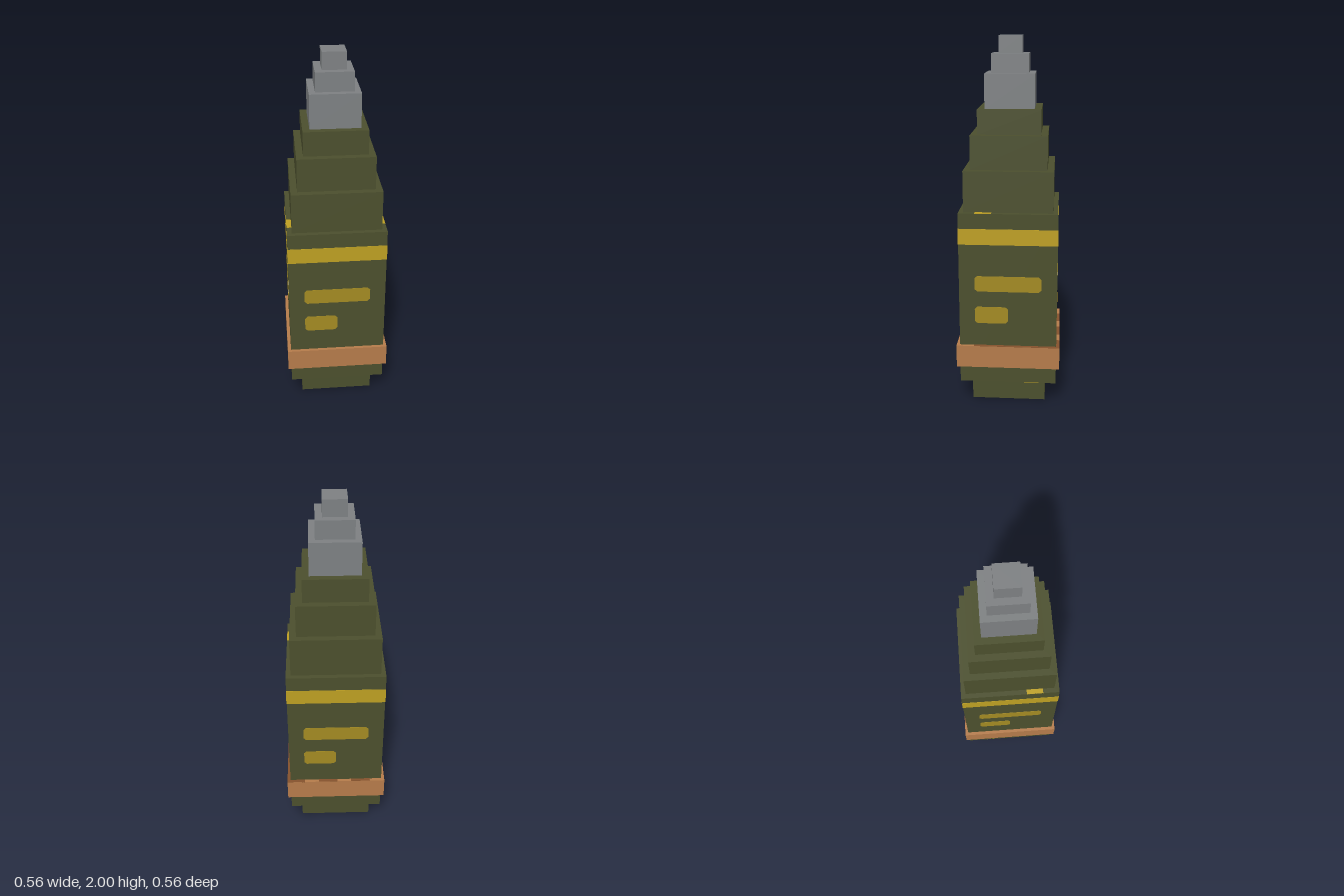
import * as THREE from 'three';

const mat = (name, color) => {
  const m = new THREE.MeshStandardMaterial({ color });
  m.name = name;
  return m;
};

export function createModel() {
  const model = new THREE.Group();
  model.name = 'artilleryShell';
  const green = mat('olive green', 0x4b4f2d);
  const grey = mat('steel grey', 0x7d8082);
  const copper = mat('copper', 0xb57b4a);
  const darkCopper = mat('dark copper', 0x85522c);
  const yellow = mat('band yellow', 0xbd9f22);
  const dullYellow = mat('label yellow', 0xa38a22);

  // Box given by its ranges on x, y and z
  const box = (name, material, [x0, x1], [y0, y1], [z0, z1]) => {
    const mesh = new THREE.Mesh(new THREE.BoxGeometry(x1 - x0, y1 - y0, z1 - z0), material);
    mesh.position.set((x0 + x1) / 2, (y0 + y1) / 2, (z0 + z1) / 2);
    mesh.name = name;
    model.add(mesh);
  };

  // Stacked square tiers: name, material, half width, bottom, top
  const tiers = [
    ['base', green, 0.203, 0, 0.135],
    ['body', green, 0.264, 0.135, 1.1],
    ['drivingBand', copper, 0.282, 0.23, 0.355],
    ['lowerShoulder', green, 0.238, 1.1, 1.32],
    ['middleShoulder', green, 0.203, 1.32, 1.5],
    ['upperShoulder', green, 0.167, 1.5, 1.63],
    ['fuseBase', grey, 0.131, 1.63, 1.81],
    ['fuseMiddle', grey, 0.098, 1.81, 1.91],
    ['fuseTip', grey, 0.062, 1.91, 2],
    ['yellowBand', yellow, 0.2655, 0.93, 1.017],
  ];
  for (const [name, material, h, y0, y1] of tiers) box(name, material, [-h, h], [y0, y1], [-h, h]);

  // Label bar with clipped corners, thin plate on the +z face
  const labelGeometry = (x0, x1, y0, y1) => {
    const c = 0.014;
    const shape = new THREE.Shape([
      [x0 + c, y0], [x1 - c, y0], [x1, y0 + c], [x1, y1 - c],
      [x1 - c, y1], [x0 + c, y1], [x0, y1 - c], [x0, y0 + c],
    ].map(([x, y]) => new THREE.Vector2(x, y)));
    return new THREE.ExtrudeGeometry(shape, { depth: 0.003, bevelEnabled: false }).translate(0, 0, 0.2625);
  };
  const longBar = labelGeometry(-0.18, 0.18, 0.668, 0.755);
  const shortBar = labelGeometry(-0.18, 0, 0.485, 0.58);

  // The same two bars on all four sides
  for (let i = 0; i < 4; i++) {
    const label = new THREE.Group();
    label.name = 'label' + (i + 1);
    label.add(new THREE.Mesh(longBar, dullYellow), new THREE.Mesh(shortBar, dullYellow));
    label.children[0].name = 'longBar';
    label.children[1].name = 'shortBar';
    label.rotation.y = i * Math.PI / 2;
    model.add(label);
  }

  // Yellow marks on the ledges above and below the body
  for (const s of [-1, 1]) {
    const span = (a, b) => (s > 0 ? [a, b] : [-b, -a]);
    box('topMark', yellow, span(0.238, 0.264), [1.098, 1.102], [0.088, 0.176]);
    box('bottomMark', yellow, span(0.203, 0.264), [0.133, 0.137], [-0.176, -0.088]);
  }

  // Dark patches on the upper edge of the driving band
  const top = [0.352, 0.3565];
  for (const [x0, x1] of [[-0.197, -0.088], [-0.008, 0.1], [0.18, 0.282]]) {
    box('bandPatch', darkCopper, [x0, x1], top, [-0.282, -0.264]);
  }
  box('bandPatch', darkCopper, [0.264, 0.282], top, [-0.264, 0.186]);

  return model;
}
